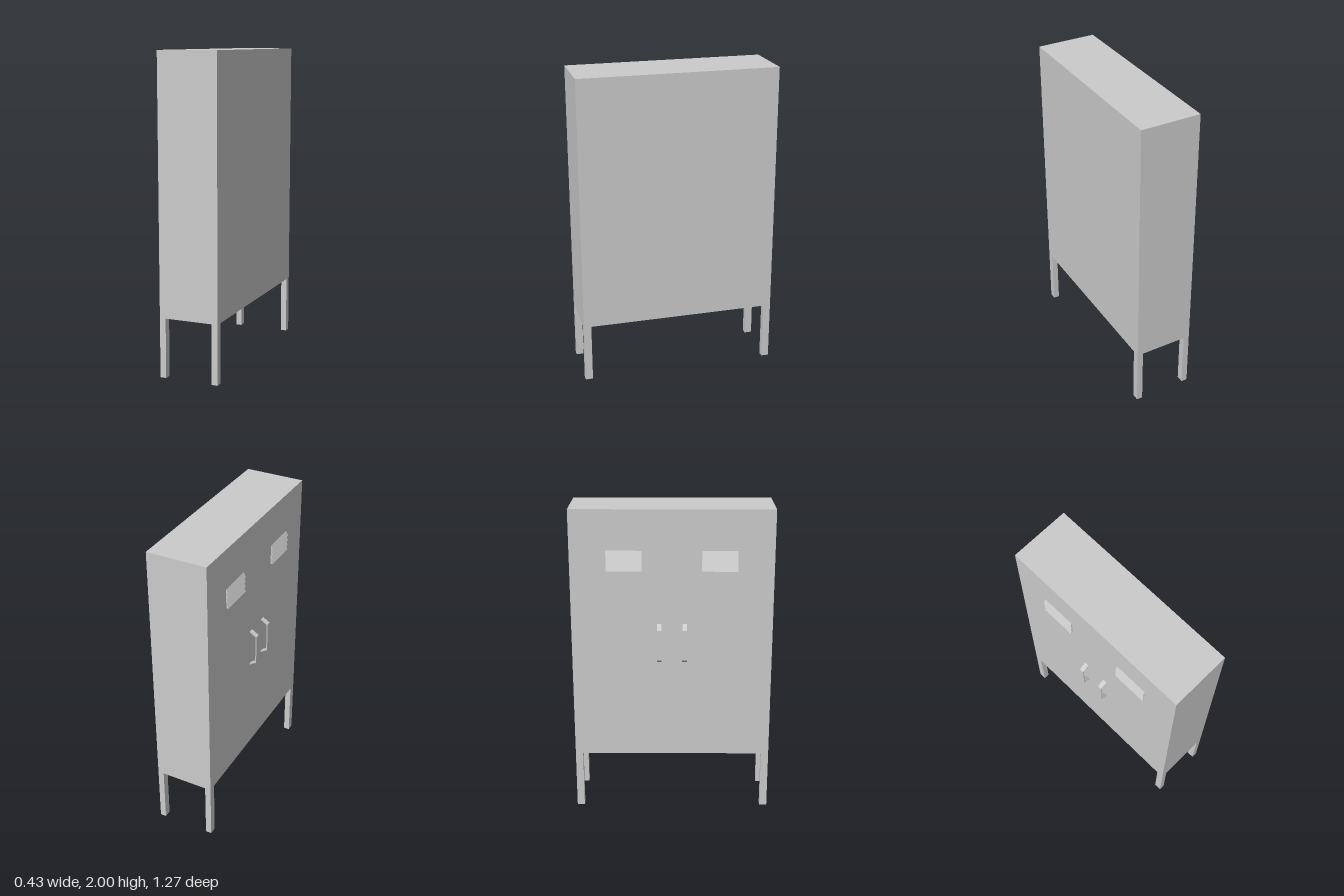
import * as THREE from 'three';

const material = new THREE.MeshStandardMaterial({ color: 0xcccccc, flatShading: true });

// Extrudes an x/y outline along z, centred on z = 0
function extrudeZ(points, width) {
  const shape = new THREE.Shape(points.map(([x, y]) => new THREE.Vector2(x, y)));
  const geometry = new THREE.ExtrudeGeometry(shape, { depth: width, bevelEnabled: false });
  return geometry.translate(0, 0, -width / 2);
}

export function createModel() {
  const group = new THREE.Group();
  const add = (name, geometry, x, y, z) => {
    const mesh = new THREE.Mesh(geometry, material);
    mesh.name = name;
    mesh.position.set(x, y, z);
    group.add(mesh);
  };

  const back = 0.215, doorX = -0.17, halfWidth = 0.634;
  const bottom = 0.38, top = 2;

  // Cabinet body
  add('cabinetBody', new THREE.BoxGeometry(back - doorX, top - bottom, halfWidth * 2),
    (back + doorX) / 2, (top + bottom) / 2, 0);

  // Four legs flush with the corners
  const legX = 0.039, legZ = 0.048;
  const leg = new THREE.BoxGeometry(legX, bottom, legZ);
  for (const x of [doorX + legX / 2, back - legX / 2])
    for (const side of [-1, 1])
      add('leg', leg, x, bottom / 2, side * (halfWidth - legZ / 2));

  // Bent strip handle, open towards the door
  const handle = extrudeZ([
    [0, 0.127], [-0.047, 0.098], [-0.047, -0.098], [0, -0.127],
    [0, -0.119], [-0.04, -0.094], [-0.04, 0.094], [0, 0.119],
  ], 0.029);

  // Sloping louvre with a flat underside
  const louvre = extrudeZ([[0, 0], [0, 0.03], [-0.015, 0]], 0.222);

  for (const side of [-1, 1]) {
    add('doorHandle', handle, doorX, 1.147, side * 0.08);
    for (let i = 0; i < 4; i++)
      add('ventLouvre', louvre, doorX, 1.617 + i * 0.0325, side * 0.297);
  }

  return group;
}
